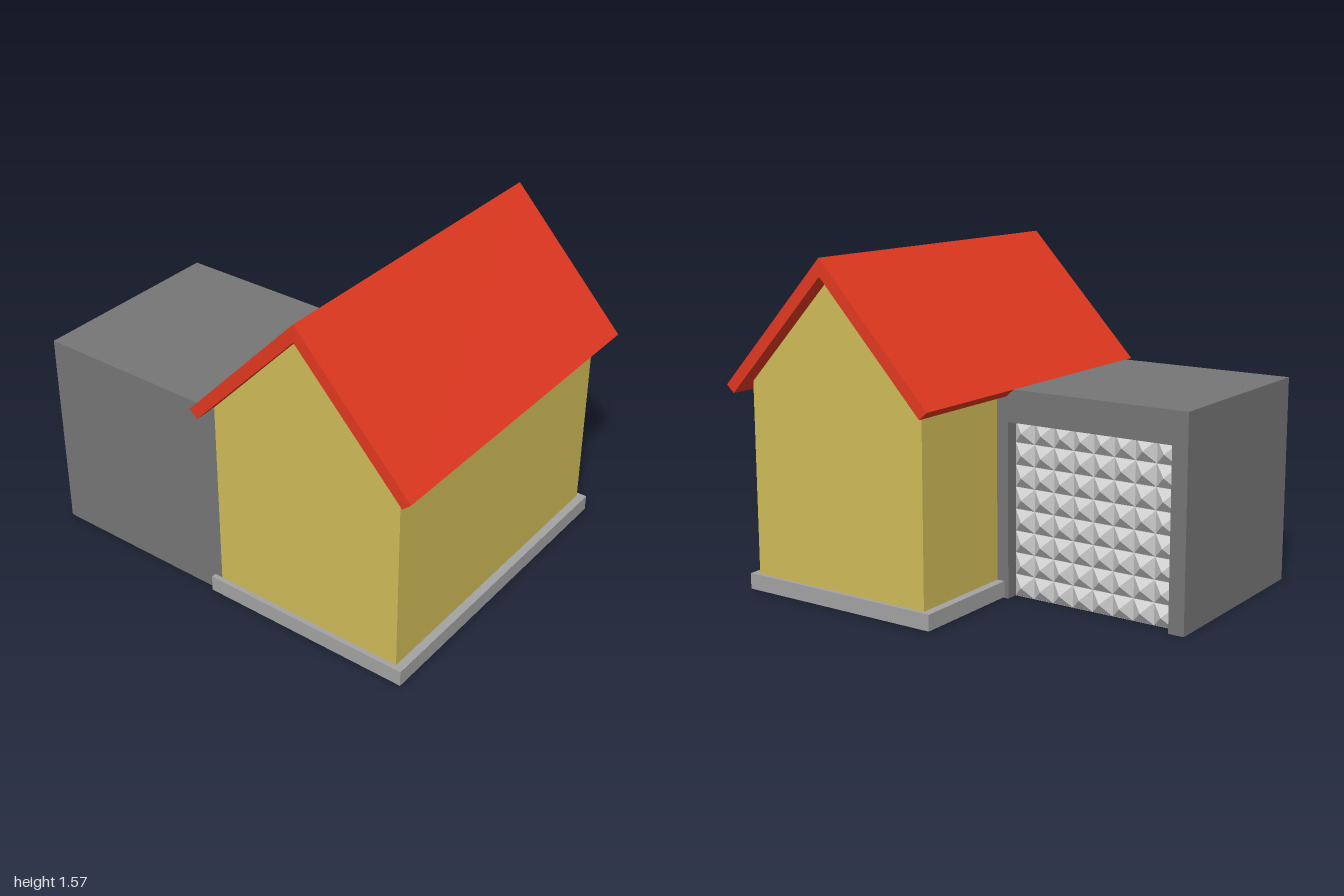
import * as THREE from 'three';
import { mergeGeometries } from 'three/addons/utils/BufferGeometryUtils.js';

const material = (color) => new THREE.MeshStandardMaterial({ color, flatShading: true });

// Extrude a (z, y) outline along x, from x0 to x1
function extrudeAlongX(points, x0, x1) {
  const shape = new THREE.Shape(points.map(([z, y]) => new THREE.Vector2(z, y)));
  const geometry = new THREE.ExtrudeGeometry(shape, { depth: x1 - x0, bevelEnabled: false });
  return geometry.rotateY(-Math.PI / 2).translate(x1, 0, 0);
}

// Box given by its limits on each axis
function boxBetween(x0, x1, y0, y1, z0, z1) {
  return new THREE.BoxGeometry(x1 - x0, y1 - y0, z1 - z0)
    .translate((x0 + x1) / 2, (y0 + y1) / 2, (z0 + z1) / 2);
}

export function createModel() {
  const model = new THREE.Group();
  const add = (name, geometry, mat) => {
    const mesh = new THREE.Mesh(geometry, mat);
    mesh.name = name;
    model.add(mesh);
  };

  // House body with gable ends
  const ridgeZ = 0.435;
  add('houseWalls', extrudeAlongX([
    [-0.04, 0.003], [0.915, 0.003], [0.915, 0.985], [ridgeZ, 1.49], [-0.04, 0.985],
  ], -0.77, 0.745), material(0xd0bc58));

  // Pitched roof, one folded slab
  add('roof', extrudeAlongX([
    [ridgeZ, 1.57], [-0.13, 0.97], [-0.09, 0.935], [ridgeZ, 1.49], [0.96, 0.935], [1.0, 0.97],
  ], -0.825, 0.825), material(0xe23820));

  // Plinth running around the foot of the walls
  const top = 0.08, base = 0.005;
  add('plinth', mergeGeometries([
    boxBetween(-0.795, 0.765, base, top, 0.915, 0.955),
    boxBetween(-0.795, 0.765, base, top, -0.08, -0.04),
    boxBetween(-0.795, -0.77, base, top, -0.04, 0.915),
    boxBetween(0.745, 0.765, base, top, -0.04, 0.915),
  ]), material(0xa3a3a3));

  // Garage: solid block and a frame around the recessed door
  const garageRight = 0.2, doorX = 0.12;
  const doorZ0 = -0.925, doorZ1 = -0.1, doorHeight = 0.82, height = 0.97;
  add('garage', mergeGeometries([
    boxBetween(-0.77, doorX, 0, height, -1, -0.04).toNonIndexed(),
    extrudeAlongX([
      [-1, 0], [doorZ0, 0], [doorZ0, doorHeight], [doorZ1, doorHeight],
      [doorZ1, 0], [-0.04, 0], [-0.04, height], [-1, height],
    ], doorX, garageRight),
  ]), material(0x767676));

  // Garage door: a grid of raised pyramids on a flat panel
  const count = 8, relief = 0.035;
  const cellZ = (doorZ1 - doorZ0) / count, cellY = doorHeight / count;
  const panelX = doorX + 0.02;
  const parts = [boxBetween(doorX, panelX, 0, doorHeight, doorZ0, doorZ1)];
  for (let row = 0; row < count; row++) {
    for (let col = 0; col < count; col++) {
      parts.push(new THREE.ConeGeometry(Math.SQRT1_2, 1, 4, 1, true)
        .rotateY(Math.PI / 4)
        .rotateZ(-Math.PI / 2)
        .scale(relief, cellY * 0.98, cellZ * 0.98)
        .translate(panelX + relief / 2, (row + 0.5) * cellY, doorZ0 + (col + 0.5) * cellZ));
    }
  }
  add('garageDoor', mergeGeometries(parts), material(0xcccccc));

  return model;
}
